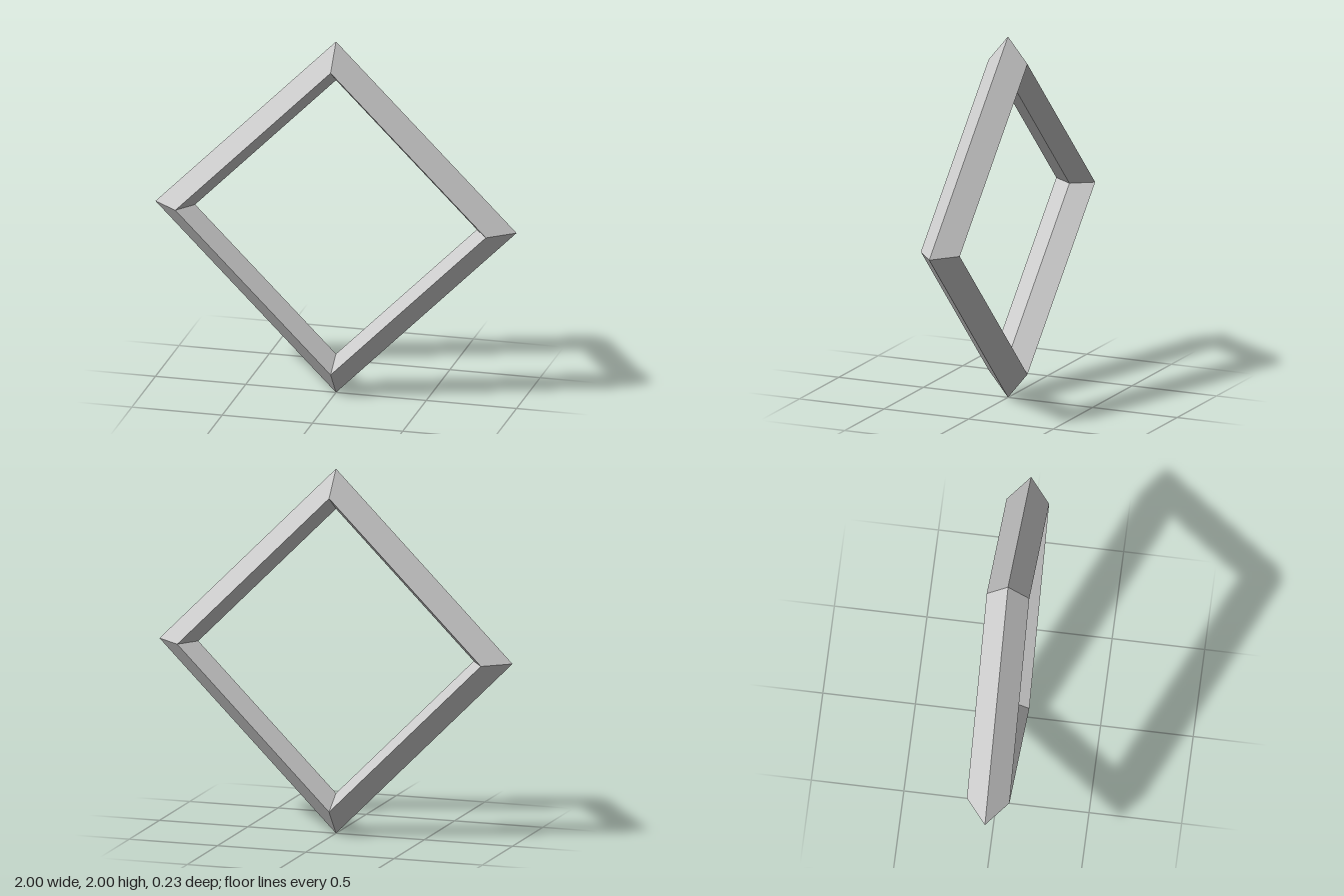
import * as THREE from 'three';

export function createModel() {
  const group = new THREE.Group();

  // Kite-shaped bar section (radius, depth), counter-clockwise from the inner edge
  const section = [
    [0.78, 0], [0.86, -0.115], [1, 0], [0.86, 0.115], [0.78, 0],
  ].map(([r, d]) => new THREE.Vector2(r, d));

  // Four mitred bars: the section swept in four steps, stood upright on one corner
  const geometry = new THREE.LatheGeometry(section, 4);
  geometry.rotateX(Math.PI / 2);
  geometry.translate(0, 1, 0);

  const frame = new THREE.Mesh(
    geometry,
    new THREE.MeshStandardMaterial({ color: 0xcccccc, flatShading: true }),
  );
  frame.name = 'diamondFrame';
  group.add(frame);
  return group;
}
